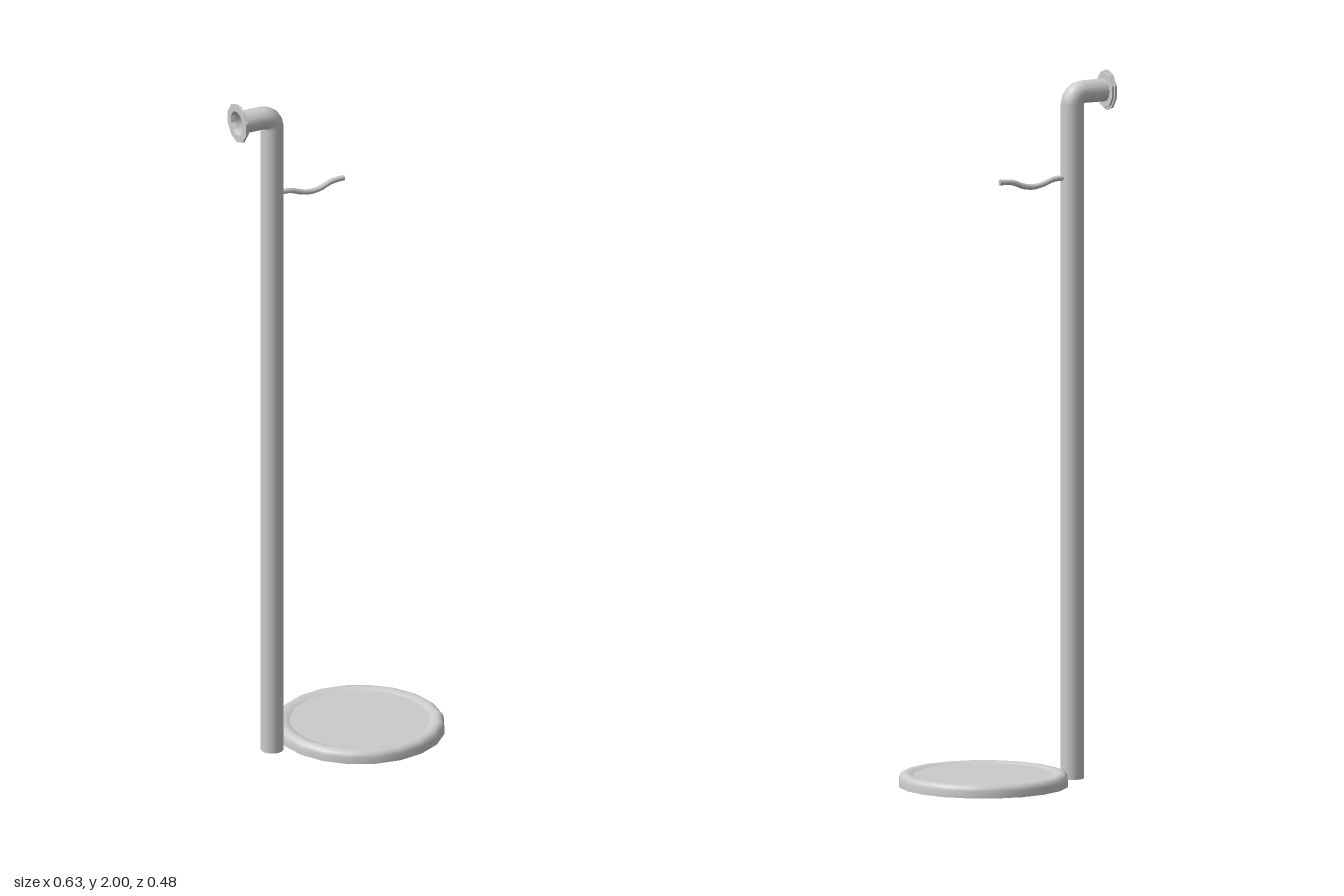
import * as THREE from 'three';

const grey = new THREE.MeshStandardMaterial({ color: 0xcccccc, side: THREE.DoubleSide });
const greyFlat = new THREE.MeshStandardMaterial({ color: 0xcccccc, side: THREE.DoubleSide, flatShading: true });

const PIPE = 0.0325, SIDES = 12;      // pipe radius and roundness
const POLE_X = -0.2035, ARM_Y = 1.945;

function add(group, name, geometry, x, y, z = 0, material = grey) {
  const mesh = new THREE.Mesh(geometry, material);
  mesh.name = name;
  mesh.position.set(x, y, z);
  group.add(mesh);
  return mesh;
}

const profile = (pairs) => pairs.map(([r, y]) => new THREE.Vector2(r, y));

export function createModel() {
  const model = new THREE.Group();
  model.name = 'pipeStand';

  // Upright pipe, tight elbow and short side arm, all open-ended
  const bendX = POLE_X - PIPE, bendY = ARM_Y - PIPE;
  add(model, 'pole', new THREE.CylinderGeometry(PIPE, PIPE, bendY, SIDES, 1, true), POLE_X, bendY / 2);
  add(model, 'elbow', new THREE.TorusGeometry(PIPE, PIPE, SIDES, 4, Math.PI / 2), bendX, bendY);
  const armEnd = -0.304, armLength = bendX - armEnd;
  const arm = add(model, 'arm', new THREE.CylinderGeometry(PIPE, PIPE, armLength, SIDES, 1, true),
    (bendX + armEnd) / 2, ARM_Y);
  arm.rotation.z = Math.PI / 2;

  // Stepped flange around the open end of the arm
  const flange = add(model, 'flange', new THREE.LatheGeometry(profile([
    [PIPE, 0], [0.051, 0], [0.051, 0.006], [0.057, 0.006], [0.057, 0.012], [0.036, 0.012], [PIPE, 0],
  ]), 10, Math.PI / 10), armEnd, ARM_Y, 0, greyFlat);
  flange.rotation.z = Math.PI / 2;

  // Wavy hook rod
  const wave = new THREE.CatmullRomCurve3([
    [-0.18, 1.705], [-0.145, 1.703], [-0.11, 1.691], [-0.08, 1.686],
    [-0.05, 1.69], [-0.015, 1.703], [0.025, 1.706],
  ].map(([x, y]) => new THREE.Vector3(x, y, 0)));
  add(model, 'hook', new THREE.TubeGeometry(wave, 24, 0.008, 8), 0, 0);
  const tip = add(model, 'hookTip', new THREE.CircleGeometry(0.008, 8), 0.025, 1.706);
  tip.rotation.y = Math.PI / 2;

  // Round foot plate: rolled rim, hollow below, with a flat panel
  const base = new THREE.Group();
  base.name = 'base';
  base.position.x = 0.076;
  model.add(base);
  add(base, 'rim', new THREE.LatheGeometry(profile([
    [0.239, 0], [0.239, 0.02], [0.235, 0.029], [0.228, 0.035], [0.218, 0.037], [0.207, 0.035], [0.198, 0.031],
  ]), 20), 0, 0);
  const panel = add(base, 'panel', new THREE.CircleGeometry(0.198, 20), 0, 0.031);
  panel.rotation.x = -Math.PI / 2;

  return model;
}
